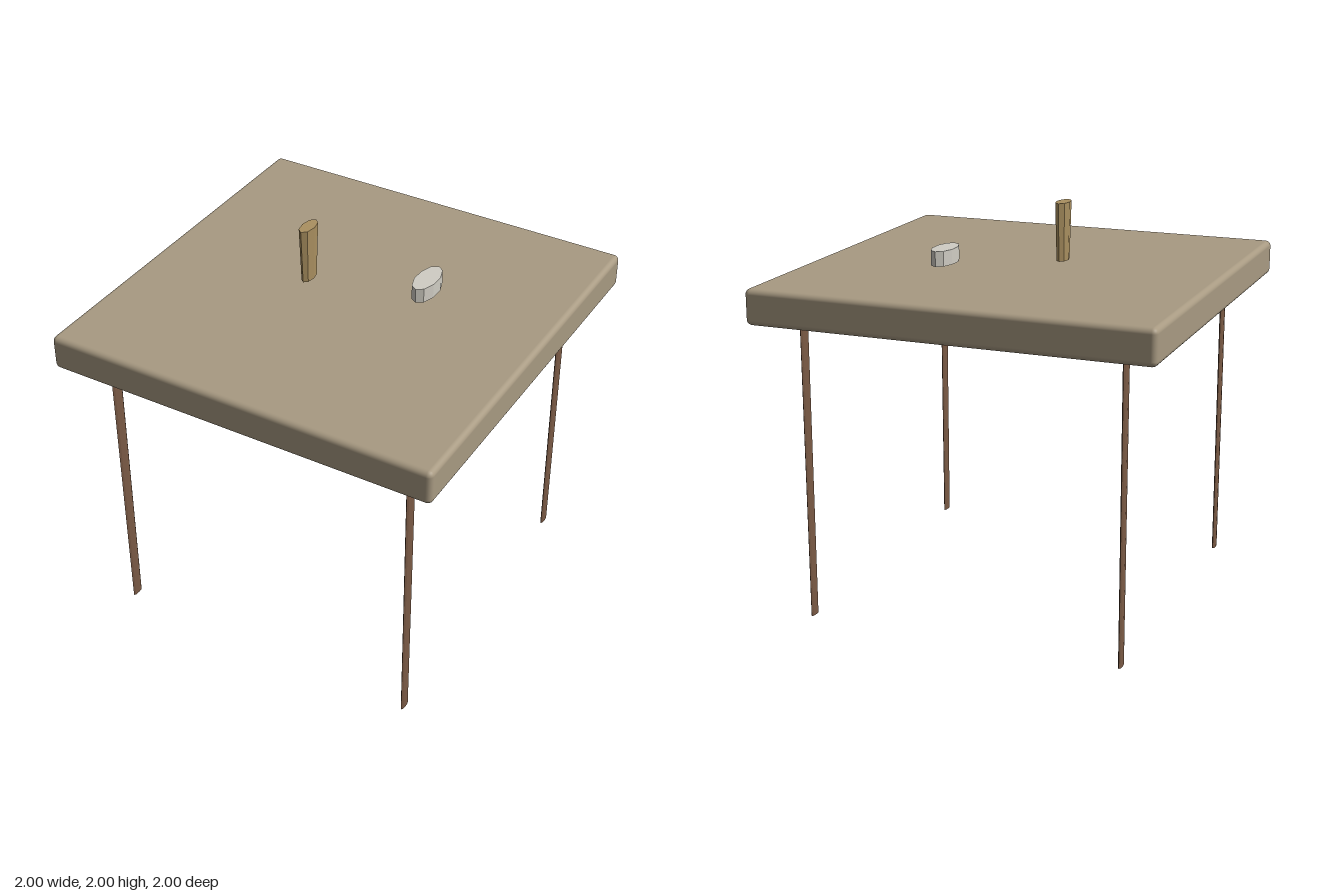
import * as THREE from 'three';
import { RoundedBoxGeometry } from 'three/addons/geometries/RoundedBoxGeometry.js';

const material = (color, flatShading = false) =>
  new THREE.MeshStandardMaterial({ color, flatShading });

// Upright tapered post with an oval section, standing on y = base
function ovalPost(name, mat, { rTop, rBottom, squash, height, sides, x, base, z }) {
  const geometry = new THREE.CylinderGeometry(rTop, rBottom, height, sides);
  geometry.scale(squash, 1, 1);
  const mesh = new THREE.Mesh(geometry, mat);
  mesh.name = name;
  mesh.position.set(x, base + height / 2, z);
  return mesh;
}

export function createModel() {
  const group = new THREE.Group();
  group.name = 'table';

  // Thick slab with softened edges
  const top = new THREE.Mesh(new RoundedBoxGeometry(2, 0.175, 2, 3, 0.027), material(0xa89a82));
  top.name = 'tableTop';
  top.position.y = 1.592;
  group.add(top);

  // Four thin, flattened legs, ending just below the slab
  const wood = material(0x7a5a45, true);
  for (const [side, x] of [['Left', 0.8], ['Right', -0.8]]) {
    for (const [end, z] of [['front', 0.8], ['back', -0.8]]) {
      group.add(ovalPost(`${end}${side}Leg`, wood, {
        rTop: 0.0375, rBottom: 0.033, squash: 0.28, height: 1.48, sides: 8, x, base: 0, z,
      }));
    }
  }

  // Tall flared cup and low dish, floating just above the slab
  group.add(ovalPost('cup', material(0xaa9060, true), {
    rTop: 0.07, rBottom: 0.056, squash: 0.48, height: 0.287, sides: 8, x: -0.204, base: 1.713, z: 0,
  }));
  group.add(ovalPost('dish', material(0xd0cdc4, true), {
    rTop: 0.118, rBottom: 0.118, squash: 0.47, height: 0.075, sides: 10, x: 0.336, base: 1.697, z: -0.2,
  }));

  return group;
}
